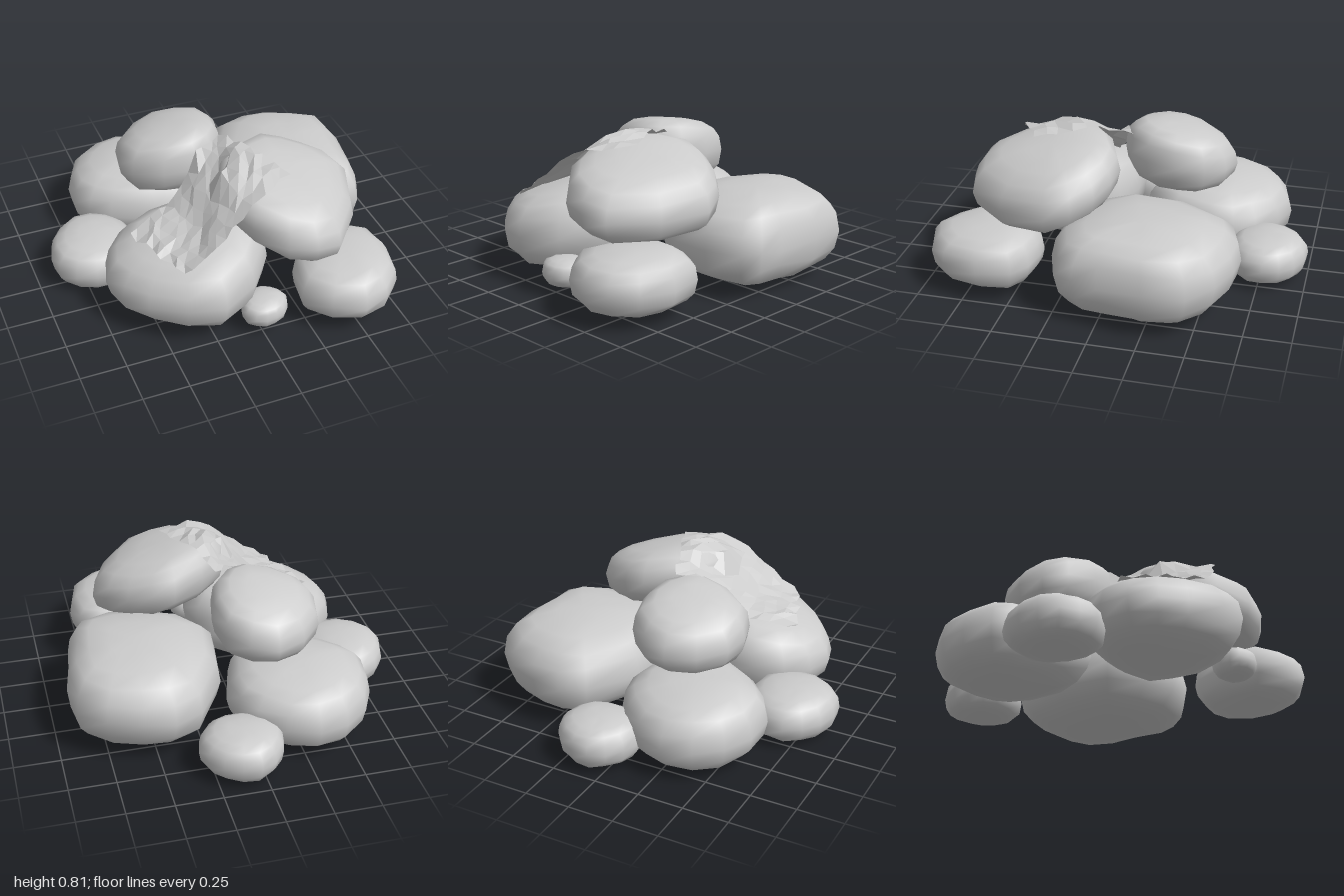
import * as THREE from 'three';

const SHEET_U = 11, SHEET_V = 8;

function seeded(seed) {
  let s = seed * 7919;
  return () => (s = (s * 16807) % 2147483647) / 2147483647;
}

// Boulder: a plan outline (clockwise from above) stacked in rings from y0 to y1, then tilted.
// baseTilt is the share of the tilt that also reaches the underside.
function boulder(name, seed, y0, y1, points, tilt = [0, 0], baseTilt = 0) {
  const rand = seeded(seed);
  const n = points.length * 2, rings = 9;
  const curve = new THREE.CatmullRomCurve3(points.map(([x, z]) => new THREE.Vector3(x, 0, z)), true);
  const outline = Array.from({ length: n }, (_, i) => curve.getPoint(i / n));
  const centre = outline.reduce((sum, p) => sum.add(p), new THREE.Vector3()).divideScalar(n);
  const pos = [], idx = [];
  const put = (dx, dz, t) => {
    const w = baseTilt + (1 - baseTilt) * t;
    pos.push(centre.x + dx, y0 + (y1 - y0) * t + w * (tilt[0] * dx + tilt[1] * dz), centre.z + dz);
  };
  // Superellipse side profile, slightly chipped
  for (let i = 0; i < rings; i++) {
    const a = THREE.MathUtils.degToRad(-80 + i * 20);
    const t = 0.5 + 0.5 * Math.sign(a) * Math.abs(Math.sin(a)) ** 0.8;
    const s = Math.cos(a) ** 0.6;
    for (const p of outline) {
      const k = s * (1 - 0.05 * (1 - s) - 0.04 * rand() * Math.abs(Math.sin(a)));
      put((p.x - centre.x) * k, (p.z - centre.z) * k, t + (rand() - 0.5) * 0.06 * Math.cos(a));
    }
  }
  const bottom = pos.length / 3, last = (rings - 1) * n;
  put(0, 0, 0);
  put(0, 0, 1);
  for (let j = 0; j < n; j++) {
    const k = (j + 1) % n;
    for (let i = 0; i < rings - 1; i++) {
      const a = i * n + j, b = i * n + k;
      idx.push(a, a + n, b, b, a + n, b + n);
    }
    idx.push(bottom, j, k, bottom + 1, last + k, last + j);
  }
  const geo = new THREE.BufferGeometry();
  geo.setAttribute('position', new THREE.Float32BufferAttribute(pos, 3));
  geo.setIndex(idx);
  geo.computeVertexNormals();
  const mesh = new THREE.Mesh(geo, new THREE.MeshStandardMaterial({ color: 0xcccccc }));
  mesh.name = name;
  return mesh;
}

// Small stone: a boulder whose outline is an uneven oval
function stone(name, seed, y0, y1, x, z, rx, rz) {
  const rand = seeded(seed + 50);
  const points = Array.from({ length: 7 }, (_, i) => {
    const a = (i / 7) * Math.PI * 2, r = 0.94 + 0.12 * rand();
    return [x + rx * r * Math.cos(a), z + rz * r * Math.sin(a)];
  });
  return boulder(name, seed, y0, y1, points);
}

// Crumpled sheet draped across the two front boulders
function drapedSheet(rocks) {
  const rand = seeded(42);
  const ray = new THREE.Raycaster();
  const down = new THREE.Vector3(0, -1, 0);
  const edge = (...points) => new THREE.CatmullRomCurve3(points.map(([x, z]) => new THREE.Vector3(x, 0, z)));
  const back = edge([-0.55, 0.26], [-0.22, 0.1], [0.05, -0.02]);
  const front = edge([-0.4, 0.67], [-0.1, 0.64], [0.26, 0.47]);
  const geo = new THREE.PlaneGeometry(1, 1, SHEET_U, SHEET_V);
  const pos = geo.attributes.position;
  for (let j = 0; j <= SHEET_V; j++) {
    for (let i = 0; i <= SHEET_U; i++) {
      const p = back.getPoint(i / SHEET_U).lerp(front.getPoint(i / SHEET_U), j / SHEET_V);
      p.x += (rand() - 0.5) * 0.03;
      p.z += (rand() - 0.5) * 0.03;
      // Rest on the rock below, or hang freely across the gap
      ray.set(new THREE.Vector3(p.x, 2, p.z), down);
      const hit = ray.intersectObjects(rocks)[0];
      const hang = 0.43 + 0.33 * THREE.MathUtils.smoothstep(p.x, -0.45, 0.12);
      const y = Math.max(hang, hit ? hit.point.y + 0.004 : 0);
      pos.setXYZ(j * (SHEET_U + 1) + i, p.x, y + 0.025 * rand(), p.z);
    }
  }
  const mesh = new THREE.Mesh(geo, new THREE.MeshStandardMaterial({
    color: 0xcccccc, flatShading: true, side: THREE.DoubleSide }));
  geo.computeVertexNormals();
  mesh.name = 'drapedSheet';
  return mesh;
}

export function createModel() {
  const group = new THREE.Group();
  group.name = 'rockPile';

  // Lower boulders
  const largeLeft = boulder('largeLeftBoulder', 1, 0.03, 0.51,
    [[0.27, -0.63], [0.58, -0.67], [0.9, -0.48], [0.88, -0.02], [0.81, 0.22], [0.4, 0.27], [0.06, -0.02]]);
  const backBoulder = boulder('backBoulder', 2, 0.02, 0.42,
    [[-0.59, -0.72], [-0.3, -0.86], [0, -0.7], [0.1, -0.45], [-0.1, -0.06], [-0.52, -0.2], [-0.68, -0.4]],
    [0, 0.08]);
  const frontRight = boulder('frontRightBoulder', 6, 0.05, 0.49,
    [[-0.57, 0.06], [-0.2, 0.01], [0.12, 0.18], [0.12, 0.52], [-0.22, 0.81], [-0.58, 0.62], [-0.72, 0.34]],
    [0.2, -0.03]);
  const frontLeft = boulder('frontLeftBoulder', 8, 0.05, 0.36,
    [[0.35, 0.42], [0.52, 0.38], [0.75, 0.47], [0.73, 0.85], [0.48, 1], [0.2, 0.8]]);

  // Upper boulders resting on the others
  const topBack = boulder('topBackBoulder', 3, 0.4, 0.76,
    [[-0.43, -0.36], [-0.16, -0.56], [0.1, -0.42], [0.1, -0.1], [-0.1, 0.06], [-0.42, -0.08]],
    [0.13, 0.2], 0.2);
  const topFront = boulder('topFrontBoulder', 7, 0.4, 0.755,
    [[0.27, 0], [0.52, 0.08], [0.68, 0.31], [0.42, 0.78], [0.13, 0.78], [-0.09, 0.45], [-0.04, 0.2]],
    [-0.2, -0.16], 1);

  // Small stones around the edge
  const smallRight = stone('smallRightStone', 4, 0.01, 0.27, -0.67, -0.06, 0.25, 0.26);
  const smallBack = stone('smallBackStone', 5, 0.02, 0.26, 0.1, -0.78, 0.23, 0.22);
  const pebble = stone('pebble', 9, 0.05, 0.2, 0.03, 0.7, 0.13, 0.12);

  const rocks = [largeLeft, backBoulder, frontRight, frontLeft, topBack, topFront, smallRight, smallBack, pebble];
  group.add(...rocks, drapedSheet(rocks));
  return group;
}
